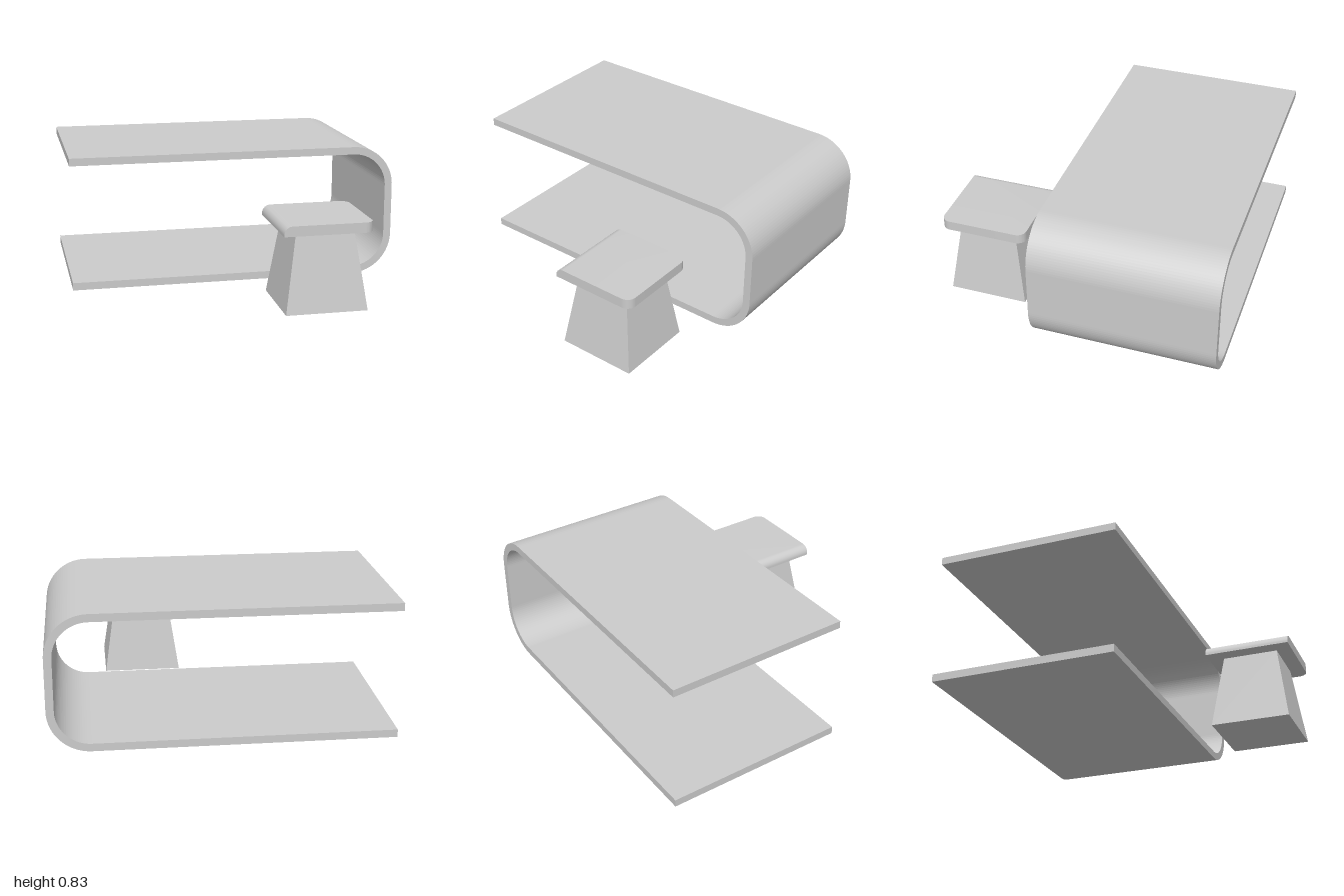
import * as THREE from 'three';
import { toCreasedNormals } from 'three/addons/utils/BufferGeometryUtils.js';

const material = new THREE.MeshStandardMaterial({ color: 0xcccccc });

function part(name, geometry) {
  const mesh = new THREE.Mesh(geometry, material);
  mesh.name = name;
  return mesh;
}

// One bent sheet: floor panel, rounded back and top panel
function deskGeometry() {
  const bottom = 0.018, top = 0.827, thick = 0.046, r = 0.25, ri = r - thick;
  const cx = 1 - r, y0 = bottom + r, y1 = top - r, q = Math.PI / 2;
  const s = new THREE.Shape();
  s.moveTo(-1, bottom);
  s.lineTo(cx, bottom);
  s.absarc(cx, y0, r, -q, 0, false);
  s.absarc(cx, y1, r, 0, q, false);
  s.lineTo(-1, top);
  s.lineTo(-1, top - thick);
  s.lineTo(cx, top - thick);
  s.absarc(cx, y1, ri, q, 0, true);
  s.absarc(cx, y0, ri, 0, -q, true);
  s.lineTo(-1, bottom + thick);
  s.closePath();
  return new THREE.ExtrudeGeometry(s, { depth: 1.115, bevelEnabled: false, curveSegments: 12 })
    .translate(0, 0, -0.9);
}

// Seat slab: two corners rounded in plan, opposite top edge rolled over
function seatGeometry() {
  const h = 0.265, c = 0.055, height = 0.06, roll = 0.05, steps = 10;
  const s = new THREE.Shape();
  s.moveTo(-h, -h);
  s.lineTo(h - c, -h);
  s.absarc(h - c, -h + c, c, -Math.PI / 2, 0, false);
  s.absarc(h - c, h - c, c, 0, Math.PI / 2, false);
  s.lineTo(-h, h);
  s.closePath();
  const g = new THREE.ExtrudeGeometry(s, { depth: steps, steps, bevelEnabled: false, curveSegments: 8 });
  const p = g.attributes.position;
  for (let i = 0; i < p.count; i++) {
    // Level 0 is the underside; the others follow the quarter round
    const level = Math.round(p.getZ(i));
    const a = Math.max(0, level - 1) / (steps - 1) * Math.PI / 2;
    if (p.getX(i) < -h + 0.001) p.setX(i, -h + roll * (1 - Math.cos(a)));
    p.setZ(i, level === 0 ? 0 : height - roll + roll * Math.sin(a));
  }
  g.rotateX(-Math.PI / 2);
  return toCreasedNormals(g, 0.5);
}

export function createModel() {
  const model = new THREE.Group();
  model.add(part('deskShell', deskGeometry()));

  // Stool: tapered square pedestal under the slab seat
  const stool = new THREE.Group();
  stool.name = 'stool';
  stool.position.set(0.393, 0, 0.636);
  const pedestal = new THREE.CylinderGeometry(0.172 * Math.SQRT2, 0.243 * Math.SQRT2, 0.47, 4)
    .rotateY(Math.PI / 4).translate(0, 0.235, 0).toNonIndexed();
  pedestal.computeVertexNormals();
  const seat = part('seat', seatGeometry());
  seat.position.y = 0.47;
  stool.add(part('pedestal', pedestal), seat);
  model.add(stool);
  return model;
}
